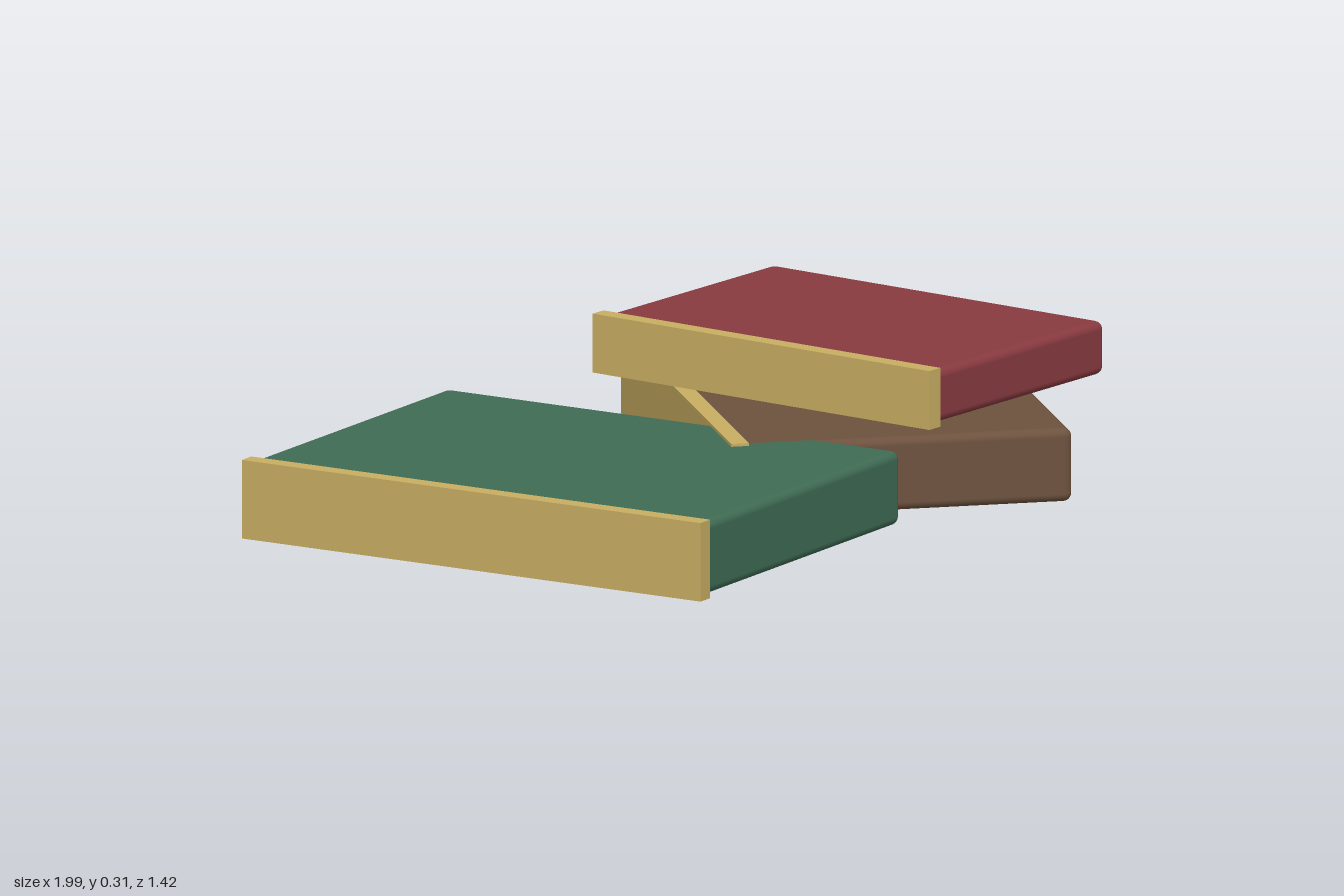
import * as THREE from 'three';
import { RoundedBoxGeometry } from 'three/addons/geometries/RoundedBoxGeometry.js';

const SPINE = 0.038; // spine thickness
const GAP = 0.006;   // how far the spine stands proud of the block

// One closed book lying flat: rounded block with a flat spine strip on its -x side
function makeBook({ name, color, width, height, length, x, y, z, turn, gap = GAP }) {
  const book = new THREE.Group();
  book.name = name;

  // Block runs from the middle of the spine to the far edge
  const blockWidth = width - SPINE / 2;
  const block = new THREE.Mesh(
    new RoundedBoxGeometry(blockWidth, height - gap * 2, length - 0.01, 3, 0.018),
    new THREE.MeshStandardMaterial({ color })
  );
  block.name = name + 'Cover';
  block.position.set(SPINE / 4, height / 2, 0);

  const spine = new THREE.Mesh(
    new THREE.BoxGeometry(SPINE, height, length),
    new THREE.MeshStandardMaterial({ color: 0xc8ad62 })
  );
  spine.name = name + 'Spine';
  spine.position.set((SPINE - width) / 2, height / 2, 0);

  book.add(block, spine);
  book.position.set(x, y, z);
  book.rotation.y = turn;
  return book;
}

export function createModel() {
  const model = new THREE.Group();
  model.name = 'bookPile';
  const books = [
    { name: 'greenBook', color: 0x3f6b54, width: 0.81, height: 0.168, length: 1.12, x: -0.447, y: 0, z: 0.05, turn: 0.3, gap: 0.005 },
    { name: 'brownBook', color: 0x6d523e, width: 0.731, height: 0.169, length: 1.04, x: 0.43, y: 0, z: -0.079, turn: -0.5 },
    // Smaller book resting on the brown one
    { name: 'redBook', color: 0x883a40, width: 0.615, height: 0.126, length: 0.88, x: 0.429, y: 0.183, z: -0.069, turn: 0.2 },
  ];
  books.forEach((b) => model.add(makeBook(b)));
  return model;
}
